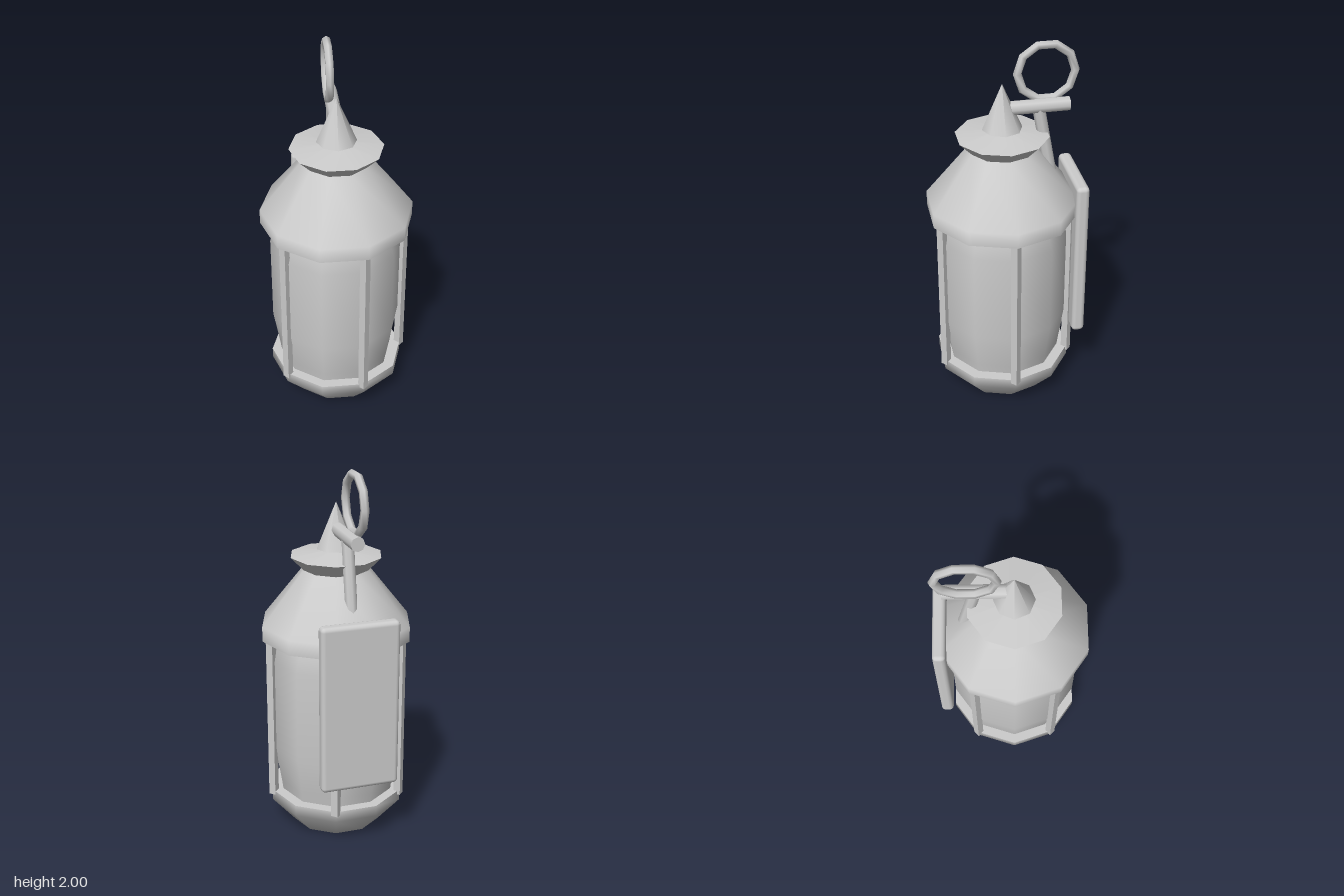
import * as THREE from 'three';
import { RoundedBoxGeometry } from 'three/addons/geometries/RoundedBoxGeometry.js';

const AXIS_Z = 0.017; // the lantern body sits slightly forward of the back plate

export function createModel() {
  const model = new THREE.Group();
  model.name = 'lantern';
  const grey = new THREE.MeshStandardMaterial({ color: 0xcccccc });
  grey.name = 'plain grey';

  function add(name, geometry, x = 0, y = 0, z = 0) {
    const mesh = new THREE.Mesh(geometry, grey);
    mesh.name = name;
    mesh.position.set(x, y, z);
    model.add(mesh);
    return mesh;
  }

  // Ten-sided turned part; a point with a third value of 1 makes a hard edge
  function turned(name, profile, x = 0) {
    const points = [];
    for (const [r, y, hard] of profile) {
      points.push(new THREE.Vector2(r, y));
      if (hard) points.push(new THREE.Vector2(r, y));
    }
    return add(name, new THREE.LatheGeometry(points, 10, Math.PI / 10), x, 0, AXIS_Z);
  }

  // Round rod between two points
  function rod(name, from, to, radius, sides) {
    const a = new THREE.Vector3(...from), b = new THREE.Vector3(...to);
    const mesh = add(name, new THREE.CylinderGeometry(radius, radius, a.distanceTo(b), sides));
    mesh.position.copy(a).add(b).multiplyScalar(0.5);
    mesh.quaternion.setFromUnitVectors(new THREE.Vector3(0, 1, 0), b.sub(a).normalize());
    return mesh;
  }

  // Body of the lantern
  turned('base', [[0, 0], [0.245, 0], [0.368, 0.14], [0.368, 0.2, 1], [0, 0.2]]);
  turned('glass', [[0.305, 0.15], [0.318, 0.25], [0.352, 0.46], [0.352, 0.96], [0.315, 1.08], [0.305, 1.11]], -0.004);
  turned('roof', [[0, 1.08, 1], [0.405, 1.08, 1], [0.405, 1.16], [0.175, 1.45, 1], [0, 1.45]]);
  turned('cap', [[0.17, 1.44], [0.178, 1.45], [0.245, 1.52, 1], [0, 1.555]]);
  add('finial', new THREE.ConeGeometry(0.105, 0.245, 8), 0, 1.6775, AXIS_Z);

  // Five square bars, all turned the same way
  const barShape = new THREE.CylinderGeometry(0.027, 0.027, 0.92, 4).toNonIndexed();
  barShape.computeVertexNormals();
  for (let i = 0; i < 5; i++) {
    const a = (i * Math.PI * 2) / 5;
    add('cageBar', barShape, 0.361 * Math.cos(a), 0.64, AXIS_Z + 0.361 * Math.sin(a));
  }

  // Back plate
  add('backPlate', new RoundedBoxGeometry(0.42, 0.91, 0.07, 2, 0.024), 0, 0.815, -0.37);

  // Hanger: strut, cross bar and ring
  rod('hangerStrut', [0, 1.65, -0.173], [0, 1.25, -0.245], 0.033, 8);
  rod('hangerBar', [0, 1.662, -0.02], [0, 1.662, -0.333], 0.038, 8);
  const ring = add('hangerRing', new THREE.TorusGeometry(0.15, 0.0225, 6, 10), -0.023, 1.836, -0.215);
  ring.rotation.y = Math.PI / 2;

  return model;
}
